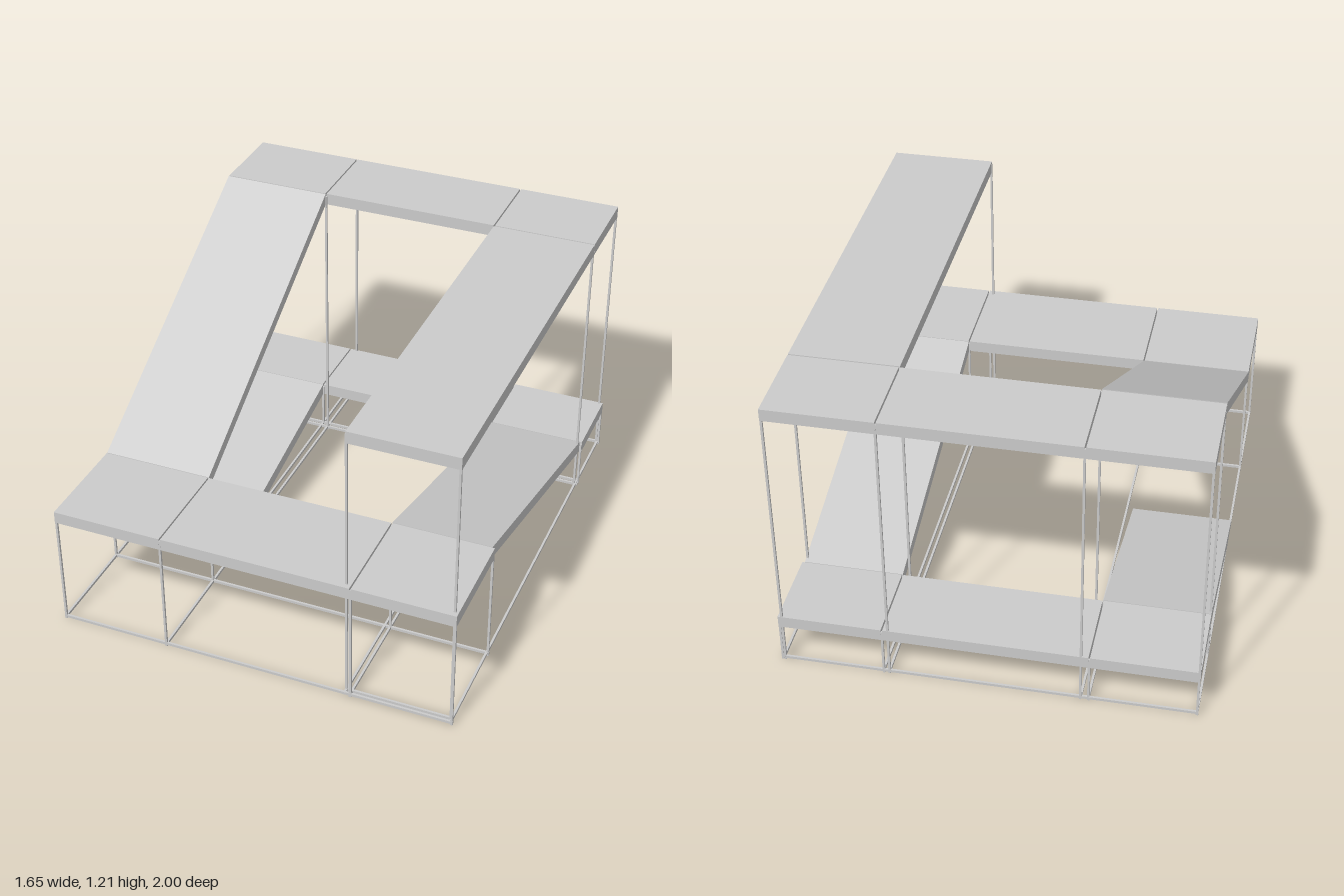
import * as THREE from 'three';

const mat = new THREE.MeshStandardMaterial({ color: 0xcccccc, flatShading: true, side: THREE.DoubleSide });
const SLAB = 0.05, BAR = 0.009, GAP = 0.003;
const LOW = 0.22, MID = 0.53, TOP = 1.21;

export function createModel() {
  const model = new THREE.Group();

  // axis-aligned block given by its limits
  function block(name, x0, x1, y0, y1, z0, z1) {
    const mesh = new THREE.Mesh(new THREE.BoxGeometry(x1 - x0, y1 - y0, z1 - z0), mat);
    mesh.position.set((x0 + x1) / 2, (y0 + y1) / 2, (z0 + z1) / 2);
    mesh.name = name;
    model.add(mesh);
  }

  // row of flat panels with narrow seams between the given x positions
  function deck(name, xs, top, z0, z1) {
    for (let i = 0; i < xs.length - 1; i++) {
      block(name, xs[i] + (i ? GAP : 0), xs[i + 1] - (i < xs.length - 2 ? GAP : 0), top - SLAB, top, z0, z1);
    }
  }

  // sloping slab, side outline given as [z, y] points
  function ramp(name, x0, x1, outline) {
    const shape = new THREE.Shape(outline.map(([z, y]) => new THREE.Vector2(-z, y)));
    const geo = new THREE.ExtrudeGeometry(shape, { depth: x1 - x0, bevelEnabled: false });
    geo.rotateY(Math.PI / 2);
    const mesh = new THREE.Mesh(geo, mat);
    mesh.position.x = x0;
    mesh.name = name;
    model.add(mesh);
  }

  const post = (x, z, top) =>
    block('post', x - BAR / 2, x + BAR / 2, 0, top, z - BAR / 2, z + BAR / 2);
  const railX = (x0, x1, z) => block('groundRail', x0, x1, 0.006, 0.017, z - BAR / 2, z + BAR / 2);
  const railZ = (x, z0, z1) => block('groundRail', x - BAR / 2, x + BAR / 2, 0.006, 0.017, z0, z1);

  // landings on three levels
  deck('lowDeck', [-0.825, -0.40, 0.41, 0.825], LOW, -1, -0.667);
  deck('middleDeck', [-0.825, -0.37, 0.41, 0.825], MID, 0.57, 1);
  deck('topDeck', [-0.825, -0.37, 0.385, 0.815], TOP, -1, -0.645);
  deck('topWalkway', [0.385, 0.815], TOP, -0.639, 0.98);

  // ramps linking the levels
  ramp('entryRamp', -0.825, -0.40, [[0.15, 0.008], [0.15, 0.04], [-0.664, LOW], [-0.664, LOW - SLAB], [0.03, 0.015]]);
  ramp('middleRamp', 0.41, 0.815, [[0.567, MID - SLAB], [0.567, MID], [-0.664, LOW], [-0.664, LOW - SLAB]]);
  ramp('upperRamp', -0.825, -0.37, [[0.567, MID - SLAB], [0.567, MID], [-0.64, TOP], [-0.64, TOP - SLAB]]);

  // posts under each deck
  for (const x of [-0.82, -0.40, 0.41, 0.82]) for (const z of [-0.667, -0.995]) post(x, z, LOW - 0.01);
  for (const x of [-0.82, -0.372, 0.41, 0.82]) for (const z of [0.573, 0.995]) post(x, z, MID - 0.01);
  for (const x of [-0.82, -0.368, 0.387, 0.81]) for (const z of [-0.641, -0.995]) post(x, z, TOP - 0.01);
  for (const x of [0.387, 0.81]) post(x, 0.975, TOP - 0.01);

  // ground frame
  for (const z of [-0.995, -0.667, -0.641, 0.573, 0.995]) railX(-0.825, 0.825, z);
  railX(0.387, 0.81, 0.975);
  for (const x of [-0.82, -0.37, 0.387, 0.41, 0.815]) railZ(x, -1, 1);
  railZ(-0.40, -1, 0.15);

  return model;
}
